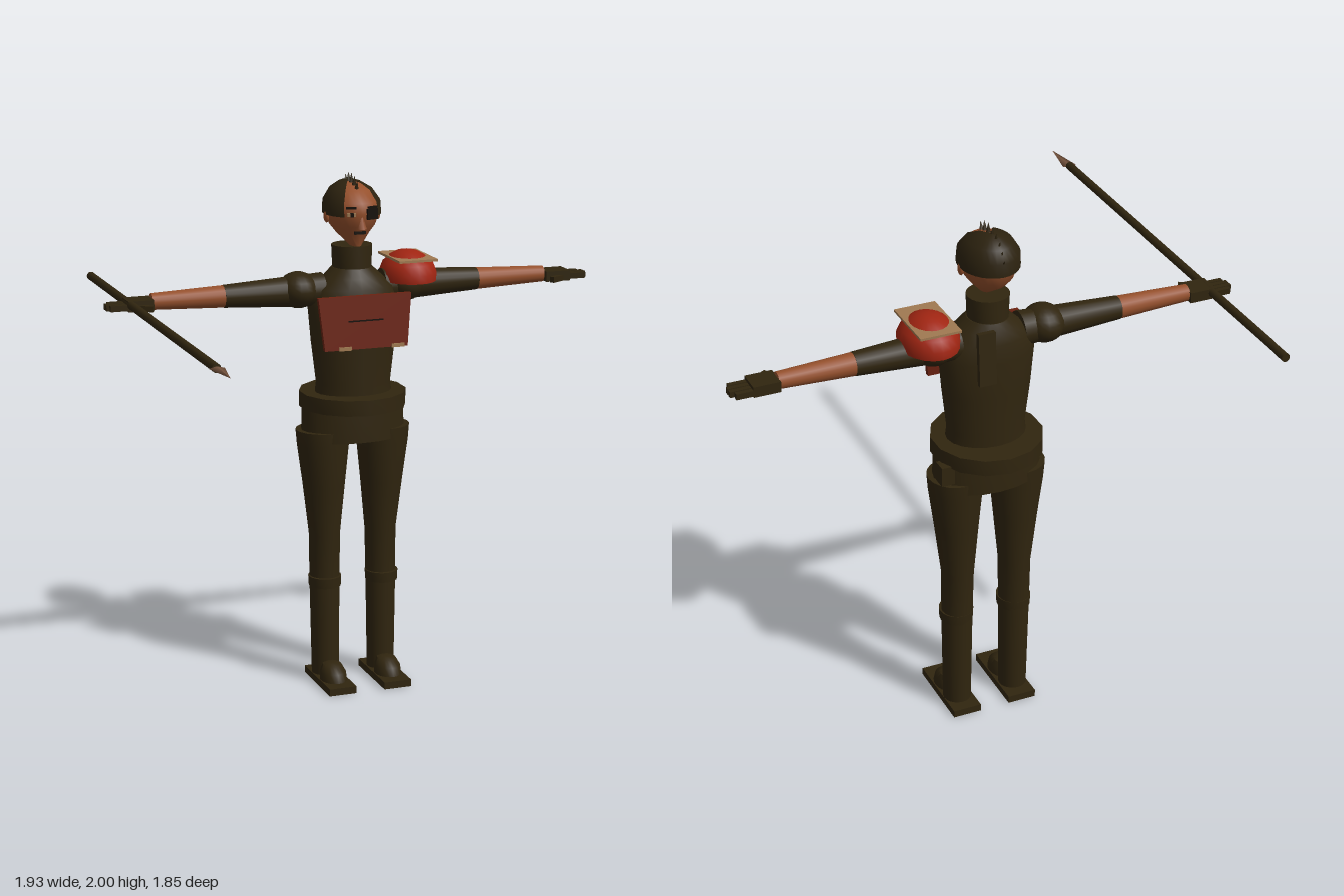
import * as THREE from 'three';
import { toCreasedNormals } from 'three/addons/utils/BufferGeometryUtils.js';

const mat = (name, color, side = THREE.FrontSide) => {
  const m = new THREE.MeshStandardMaterial({ color, side });
  m.name = name;
  return m;
};

// Skin over elliptical rings [y, cx, cz, rx, rz]; t0..t1 is the swept angle from the front
function loft(rings, n = 20, t0 = 0, t1 = Math.PI * 2, crease = 0.7) {
  const pos = [], idx = [], w = n + 1;
  for (const [y, cx, cz, rx, rz] of rings)
    for (let j = 0; j <= n; j++) {
      const t = t0 + (t1 - t0) * j / n;
      pos.push(cx + rx * Math.sin(t), y, cz + rz * Math.cos(t));
    }
  for (let i = 0; i < rings.length - 1; i++)
    for (let j = 0; j < n; j++) {
      const a = i * w + j, b = a + 1, c = a + w, d = c + 1;
      idx.push(a, b, c, b, d, c);
    }
  const g = new THREE.BufferGeometry();
  g.setAttribute('position', new THREE.Float32BufferAttribute(pos, 3));
  g.setIndex(idx);
  return toCreasedNormals(g, crease);
}

// Closes a list of rings with a point at each end
const closed = (rings) => {
  const a = rings[0], b = rings[rings.length - 1];
  return [[a[0], a[1], a[2], 0, 0], ...rings, [b[0], b[1], b[2], 0, 0]];
};

export function createModel() {
  const root = new THREE.Group();
  root.name = 'spearFighter';
  const cloth = mat('dark cloth', 0x30250f);
  const hairMat = mat('dark hair', 0x2c220f, THREE.DoubleSide);
  const skin = mat('skin', 0x95502c);
  const red = mat('armour red', 0xa02512);
  const darkRed = mat('chest red', 0x6a2211);
  const tan = mat('trim tan', 0xa07a52);
  const black = mat('black', 0x15100a);
  const steel = mat('spear tip', 0x76543e);

  const add = (name, geo, material, parent = root) => {
    const m = new THREE.Mesh(geo, material);
    m.name = name;
    parent.add(m);
    return m;
  };
  const box = (name, w, h, d, x, y, z, material, parent) => {
    const m = add(name, new THREE.BoxGeometry(w, h, d), material, parent);
    m.position.set(x, y, z);
    return m;
  };

  // Torso, collar, hips and wide belt
  add('torso', loft(closed([
    [1.13, 0, -0.353, 0.155, 0.118], [1.2, 0, -0.353, 0.145, 0.118],
    [1.36, 0, -0.353, 0.165, 0.122], [1.5, 0, -0.353, 0.178, 0.122],
    [1.57, 0, -0.355, 0.162, 0.113], [1.61, 0, -0.358, 0.115, 0.1],
    [1.645, 0, -0.362, 0.078, 0.08]])), cloth);
  add('collar', loft(closed([[1.62, 0, -0.362, 0.073, 0.078], [1.73, 0, -0.362, 0.078, 0.077]])), cloth);
  add('hips', loft(closed([
    [0.98, 0, -0.36, 0.207, 0.126], [1.1, 0, -0.36, 0.203, 0.126], [1.165, 0, -0.36, 0.2, 0.122]])), cloth);
  add('belt', loft(closed([[1.105, 0, -0.362, 0.206, 0.208], [1.165, 0, -0.362, 0.206, 0.208]]), 14), cloth);
  box('beltPouch', 0.05, 0.075, 0.055, 0.19, 1.075, -0.428, cloth);
  const scarf = box('scarfTail', 0.065, 0.2, 0.02, 0.05, 1.53, -0.467, cloth);
  scarf.rotation.x = 0.08;

  // Chest plate, leaning forward at the bottom
  const plate = new THREE.BoxGeometry(1, 0.2, 0.02);
  const pp = plate.attributes.position;
  for (let i = 0; i < pp.count; i++) {
    const top = pp.getY(i) > 0;
    pp.setX(i, pp.getX(i) * (top ? 0.37 : 0.33));
    pp.setZ(i, pp.getZ(i) + (top ? -0.01 : 0.006));
  }
  plate.computeVertexNormals();
  add('chestPlate', plate, darkRed).position.set(0, 1.457, -0.214);
  box('chestStitch', 0.14, 0.005, 0.004, 0, 1.464, -0.204, black);
  for (const x of [-0.085, 0.125]) box('chestClasp', 0.05, 0.014, 0.008, x, 1.362, -0.197, tan);

  // Head, face and ears
  const head = new THREE.Group();
  head.name = 'head';
  root.add(head);
  add('skull', loft(closed([
    [1.732, 0, -0.325, 0.02, 0.04], [1.78, 0, -0.357, 0.062, 0.084],
    [1.81, 0, -0.36, 0.085, 0.108], [1.86, 0, -0.362, 0.104, 0.125],
    [1.9, 0, -0.365, 0.101, 0.121], [1.94, 0, -0.372, 0.073, 0.09],
    [1.96, 0, -0.38, 0.035, 0.045], [1.966, 0, -0.38, 0.01, 0.01]]), 24), skin, head);
  const nose = add('nose', new THREE.ConeGeometry(0.018, 0.055, 4), skin, head);
  nose.position.set(0, 1.832, -0.242);
  box('mouth', 0.045, 0.012, 0.008, 0, 1.787, -0.269, black, head);
  box('eyePatch', 0.046, 0.04, 0.009, 0.04, 1.86, -0.243, black, head).rotation.y = 0.3;
  box('eyeWhite', 0.032, 0.014, 0.008, -0.042, 1.86, -0.245, tan, head).rotation.y = -0.3;
  box('pupil', 0.013, 0.014, 0.008, -0.041, 1.86, -0.242, black, head).rotation.y = -0.3;
  for (const s of [-1, 1]) {
    box('eyebrow', 0.04, 0.008, 0.008, s * 0.042, 1.885, -0.247, black, head).rotation.y = s * 0.35;
    const ear = add('ear', new THREE.SphereGeometry(0.022, 10, 8), skin, head);
    ear.scale.set(0.45, 1.1, 0.8);
    ear.position.set(s * 0.102, 1.842, -0.358);
  }

  // Hair shell, parted at the front, with a row of spikes
  add('hair', loft([
    [1.85, 0, -0.362, 0.109, 0.131], [1.9, 0, -0.365, 0.107, 0.127],
    [1.943, 0, -0.373, 0.079, 0.097], [1.967, 0, -0.385, 0.04, 0.05],
    [1.974, 0, -0.395, 0, 0]], 22, 0.65, Math.PI * 2 - 0.65), hairMat, head);
  for (let i = 0; i < 8; i++) {
    const a = -0.62 + i * 0.27;
    const spike = add('hairSpike', new THREE.ConeGeometry(0.012, 0.05, 6), hairMat, head);
    spike.position.set(0, 1.86 + 0.117 * Math.cos(a), -0.372 - 0.117 * Math.sin(a));
    spike.rotation.x = -a * 0.5;
  }

  for (const s of [-1, 1]) {
    // Leg with knee band and shoe
    const leg = new THREE.Group();
    leg.name = s > 0 ? 'leftLeg' : 'rightLeg';
    root.add(leg);
    add('trouser', loft(closed([
      [0.03, s * 0.115, -0.366, 0.053, 0.054], [0.39, s * 0.116, -0.366, 0.058, 0.06],
      [0.6, s * 0.115, -0.367, 0.06, 0.067], [0.8, s * 0.118, -0.362, 0.081, 0.088],
      [0.96, s * 0.121, -0.36, 0.1, 0.102], [1.02, s * 0.122, -0.36, 0.104, 0.105]])), cloth, leg);
    add('kneeBand', loft(closed([
      [0.39, s * 0.117, -0.36, 0.062, 0.066], [0.43, s * 0.117, -0.36, 0.064, 0.069]])), cloth, leg);
    box('sole', 0.11, 0.028, 0.3, s * 0.113, 0.014, -0.31, cloth, leg);
    add('toe', loft(closed([
      [0.025, s * 0.113, -0.275, 0.052, 0.068], [0.06, s * 0.113, -0.28, 0.049, 0.062],
      [0.085, s * 0.113, -0.29, 0.036, 0.045], [0.092, s * 0.113, -0.295, 0.018, 0.02]])), cloth, leg);

    // Outstretched arm
    const arm = new THREE.Group();
    arm.name = s > 0 ? 'leftArm' : 'rightArm';
    root.add(arm);
    const shoulder = add('shoulder', new THREE.SphereGeometry(0.08, 18, 12), cloth, arm);
    shoulder.position.set(s * 0.215, 1.567, -0.365);
    shoulder.scale.set(0.95, 0.87, 1.06);
    const limb = (name, x0, x1, r0, r1, material) => {
      const m = add(name, new THREE.CylinderGeometry(r1, r0, x1 - x0, 18), material, arm);
      m.rotation.z = -s * Math.PI / 2;
      m.position.set(s * (x0 + x1) / 2, 1.562, -0.365);
    };
    limb('upperArm', 0.12, 0.51, 0.065, 0.043, cloth);
    limb('forearm', 0.51, 0.79, 0.042, 0.031, skin);
    box('palm', 0.1, 0.04, 0.09, s * 0.838, 1.557, -0.36, cloth, arm);
    for (let i = 0; i < 4; i++) {
      const len = [0.07, 0.08, 0.08, 0.065][i];
      box('finger', len, 0.022, 0.018, s * (0.885 + len / 2), 1.553, -0.327 - i * 0.023, cloth, arm);
    }
    box('thumb', 0.06, 0.022, 0.02, s * 0.825, 1.55, -0.302, cloth, arm).rotation.y = s * 0.5;
  }

  // Domed shoulder guard with a flat rim plate
  const guard = new THREE.Group();
  guard.name = 'shoulderGuard';
  root.add(guard);
  add('guardDome', loft(closed([
    [1.58, 0.228, -0.365, 0.107, 0.132], [1.61, 0.228, -0.365, 0.108, 0.134],
    [1.645, 0.228, -0.365, 0.095, 0.116], [1.672, 0.226, -0.365, 0.068, 0.082],
    [1.688, 0.226, -0.365, 0.04, 0.048], [1.694, 0.226, -0.365, 0.015, 0.018]])), red, guard);
  box('guardTrim', 0.155, 0.009, 0.235, 0.228, 1.667, -0.363, tan, guard);

  // Spear held in the right hand
  const spear = new THREE.Group();
  spear.name = 'spear';
  spear.position.set(-0.876, 1.562, 0);
  spear.rotation.x = Math.PI / 2;
  root.add(spear);
  add('shaft', new THREE.CylinderGeometry(0.016, 0.016, 1.7, 12), cloth, spear).position.y = -0.08;
  const tip = add('spearTip', new THREE.ConeGeometry(0.028, 0.155, 4), steel, spear);
  tip.position.y = 0.847;
  tip.scale.z = 0.25;

  return root;
}
